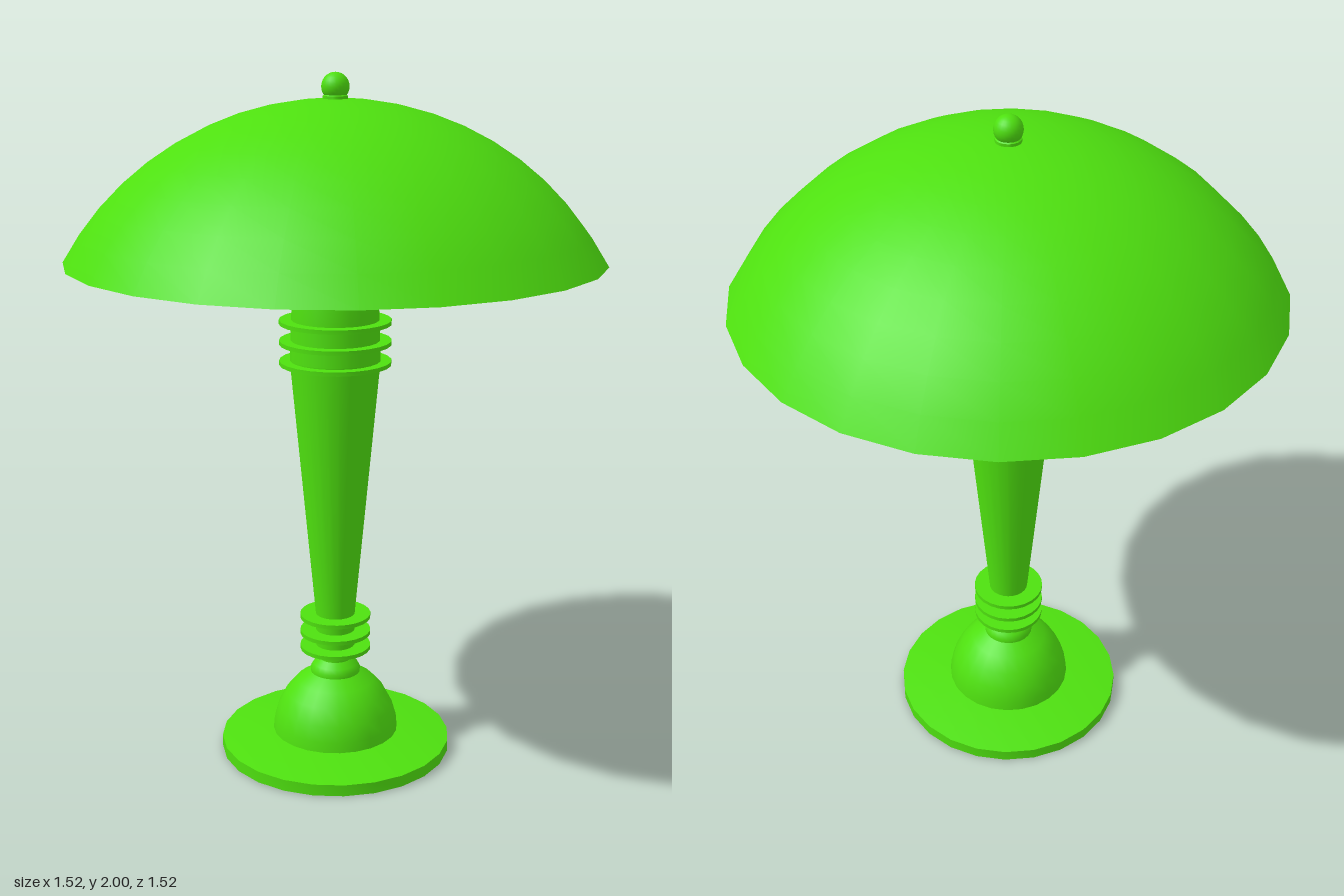
import * as THREE from 'three';
import { toCreasedNormals } from 'three/addons/utils/BufferGeometryUtils.js';

const green = new THREE.MeshStandardMaterial({ color: 0x4ee00f });
green.name = 'green enamel';
const grey = new THREE.MeshStandardMaterial({ color: 0xdcdcdc });
grey.name = 'pale metal';

const SIDES = 24;

export function createModel() {
  const lamp = new THREE.Group();
  lamp.name = 'tableLamp';

  // Turned part from [radius, height] pairs, listed so the surface faces outward
  function turned(name, profile, material = green) {
    const points = profile.map(([r, y]) => new THREE.Vector2(r, y));
    const geometry = toCreasedNormals(new THREE.LatheGeometry(points, SIDES), 0.7);
    const mesh = new THREE.Mesh(geometry, material);
    mesh.name = name;
    lamp.add(mesh);
  }

  // Foot: flat disc with a slightly raised top
  turned('foot', [[0, 0], [0.343, 0], [0.343, 0.034], [0.19, 0.055], [0, 0.055]]);

  // Dome and collar on the foot
  turned('footDome', [
    [0.188, 0.05], [0.185, 0.085], [0.172, 0.13], [0.148, 0.175], [0.115, 0.212], [0.074, 0.238],
    [0.074, 0.25], [0.066, 0.264], [0.048, 0.28], [0.048, 0.31],
  ]);

  // Tapered column with its rounded top
  turned('column', [[0, 0.3], [0.058, 0.3], [0.058, 0.42], [0.13, 1.19], [0.13, 1.2]]);
  turned('columnCap', [
    [0.13, 1.19], [0.126, 1.32], [0.122, 1.39], [0.116, 1.425],
    [0.1, 1.457], [0.076, 1.478], [0.045, 1.486], [0, 1.488],
  ]);

  // Two sets of three thin rings
  function rings(name, radius, heights) {
    heights.forEach((y, i) => turned(name + (i + 1), [
      [0, y - 0.006], [radius, y - 0.006], [radius, y + 0.006], [0, y + 0.006],
    ]));
  }
  rings('lowerRing', 0.105, [0.318, 0.366, 0.417]);
  rings('upperRing', 0.161, [1.191, 1.25, 1.309]);

  // Rod that carries the shade
  turned('rod', [[0.019, 1.47], [0.019, 1.91]], grey);

  // Shade: spherical cap outside, coned crown inside
  const R = 0.871, centreY = 1.059;
  const shade = [[0, 1.905], [0.34, 1.845]];
  for (const r of [0.45, 0.56, 0.66]) shade.push([r, centreY - 0.012 + Math.sqrt(R * R - r * r)]);
  shade.push([0.746, 1.488]);
  const rimAngle = Math.asin(0.759 / R);
  for (let i = 0; i <= 10; i++) {
    const a = rimAngle * (1 - i / 10);
    shade.push([R * Math.sin(a), centreY + R * Math.cos(a)]);
  }
  turned('shade', shade);

  // Finial: short neck and ball
  turned('finialNeck', [[0.035, 1.92], [0.035, 1.936], [0.024, 1.945], [0.024, 1.96]]);
  const ball = new THREE.Mesh(new THREE.SphereGeometry(0.039, SIDES, 14), green);
  ball.name = 'finialBall';
  ball.position.y = 1.961;
  lamp.add(ball);

  return lamp;
}
